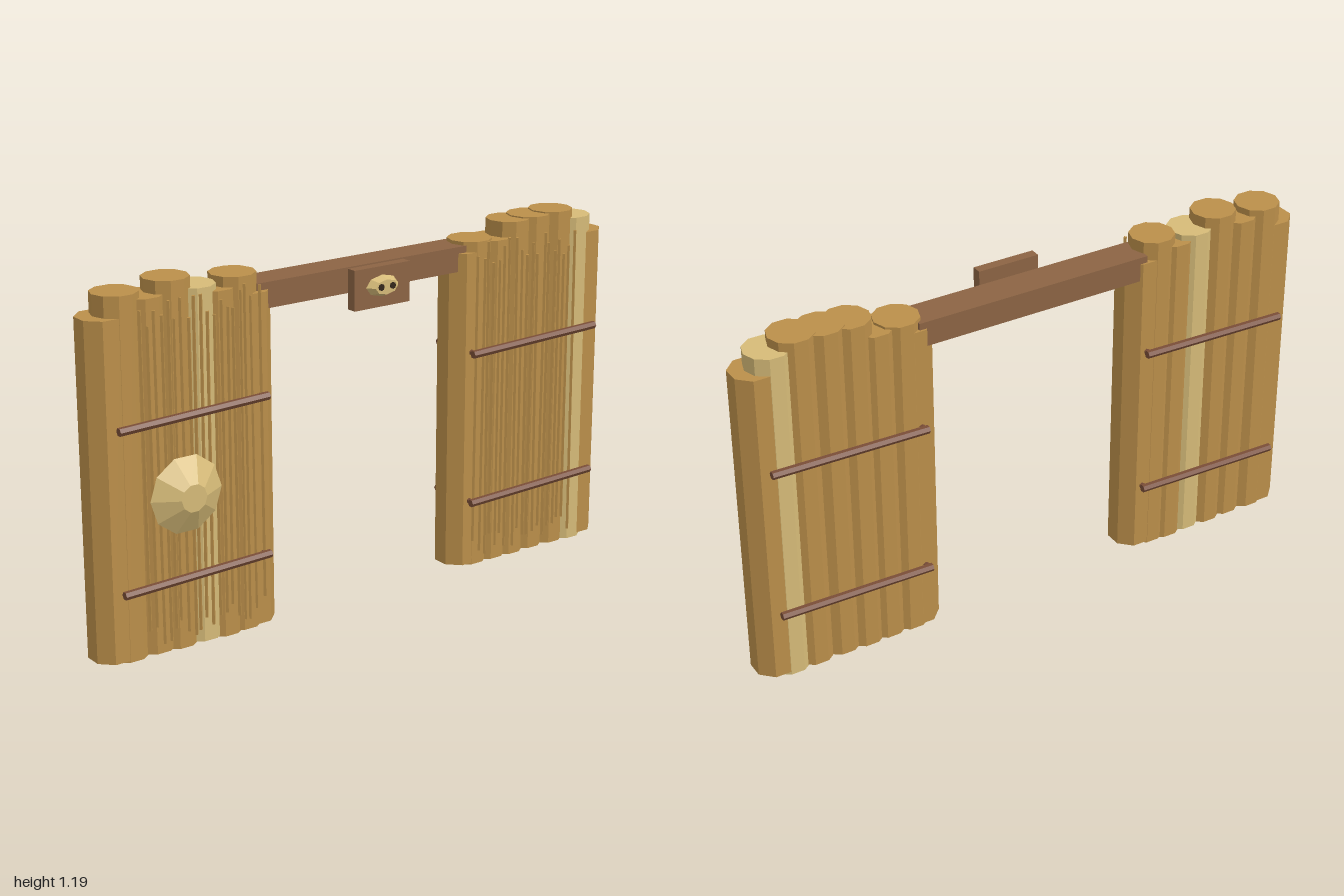
import * as THREE from 'three';

const mat = (name, color) => new THREE.MeshStandardMaterial({ name, color, flatShading: true });

export function createModel() {
  const wood = mat('wood', 0xbb8f4a);
  const paleWood = mat('paleWood', 0xd6bb78);
  const plank = mat('plank', 0x8c6444);
  const rodWood = mat('rodWood', 0x7a4d37);
  const dark = mat('dark', 0x33261a);

  const root = new THREE.Group();
  root.name = 'palisadeGate';
  const add = (parent, name, geo, material, x = 0, y = 0, z = 0) => {
    const m = new THREE.Mesh(geo, material);
    m.name = name;
    m.position.set(x, y, z);
    parent.add(m);
    return m;
  };
  let seed = 7;
  const rand = () => (seed = (seed * 16807) % 2147483647) / 2147483647;

  const Z = -0.03; // centre plane of the logs
  const log = (parent, name, x, bottom, top, r, material, sides) =>
    add(parent, name, new THREE.CylinderGeometry(r, r, top - bottom, sides).rotateY(Math.PI / sides),
      material, x, (top + bottom) / 2, Z);

  // each log: x, bottom, top, pale?
  const walls = [
    { name: 'rightWall', posts: [-0.93, -0.42], side: -1, rodX: -0.668, slivers: [-0.835, -0.42], logs: [
      [-0.882, 0.012, 1.168], [-0.79, 0.014, 1.146], [-0.705, 0.01, 1.187],
      [-0.615, 0.012, 1.15, true], [-0.54, 0.008, 1.13], [-0.468, 0.012, 1.163]] },
    { name: 'leftWall', posts: [0.42, 0.93], side: 1, rodX: 0.668, slivers: [0.435, 0.855], logs: [
      [0.455, 0.012, 1.136], [0.54, 0.012, 1.128], [0.618, 0.01, 1.18],
      [0.705, 0.012, 1.184], [0.8, 0.01, 1.188], [0.882, 0.007, 1.158, true]] },
  ];

  for (const { name, posts, side, rodX, slivers, logs } of walls) {
    const wall = new THREE.Group();
    wall.name = name;
    root.add(wall);

    // lower end posts and the row of logs between them
    for (const x of posts) log(wall, 'endPost', x, 0.018, 1.102, 0.0757, wood, 8);
    for (const [x, b, t, pale] of logs) {
      const m = log(wall, 'log', x, b, t, 0.0745, pale ? paleWood : wood, 10);
      m.rotation.z = (rand() - 0.5) * 0.008;
    }

    // brown pole under the beam, its foot just showing below the logs
    log(wall, 'beamPole', side * 0.432, 0.002, 1.09, 0.042, plank, 10);

    // thin slivers standing along the front
    const count = 19;
    for (let i = 0; i < count; i++) {
      const x = THREE.MathUtils.lerp(slivers[0], slivers[1], i / (count - 1)) + (rand() - 0.5) * 0.01;
      const bottom = 0.04 + rand() * 0.08;
      const top = 1.04 + rand() * 0.1;
      const strip = add(wall, 'sliver', new THREE.CylinderGeometry(0.006, 0.006, top - bottom, 4),
        wood, x, (top + bottom) / 2, 0.039 + rand() * 0.006);
      strip.rotation.z = (rand() - 0.5) * 0.014;
    }

    // binding rods on both faces, tied through by a dowel at the inner end
    for (const y of [0.253, 0.773]) {
      for (const z of [0.063, -0.12]) {
        const rod = add(wall, 'bindingRod',
          new THREE.CylinderGeometry(0.0135, 0.0135, 0.53, 6).rotateZ(Math.PI / 2), rodWood, rodX, y, z);
        rod.rotation.z = 0.026;
      }
      add(wall, 'dowel', new THREE.CylinderGeometry(0.01, 0.01, 0.183, 6).rotateX(Math.PI / 2),
        rodWood, side * 0.415, y - side * 0.006, -0.0285);
    }
  }

  // crossbeam over the opening
  add(root, 'crossbeam', new THREE.BoxGeometry(0.82, 0.083, 0.113), plank, 0, 1.083, -0.037);

  // small board hung in front of the beam
  add(root, 'signBoard', new THREE.BoxGeometry(0.214, 0.13, 0.034), plank, -0.002, 1.072, 0.091);

  // faceted carved mask on the board
  const mask = new THREE.CylinderGeometry(0.043, 0.062, 0.025, 8).rotateX(Math.PI / 2);
  mask.scale(1, 0.56, 1);
  add(root, 'mask', mask, paleWood, -0.003, 1.075, 0.1205);
  for (const s of [-1, 1]) {
    add(root, 'maskEye', new THREE.CylinderGeometry(0.011, 0.011, 0.006, 8).rotateX(Math.PI / 2),
      dark, -0.003 + s * 0.022, 1.077, 0.133);
  }

  // round faceted shield
  add(root, 'shield',
    new THREE.CylinderGeometry(0.045, 0.126, 0.047, 10).rotateY(Math.PI / 10).rotateX(Math.PI / 2),
    paleWood, -0.722, 0.535, 0.1115);

  return root;
}
